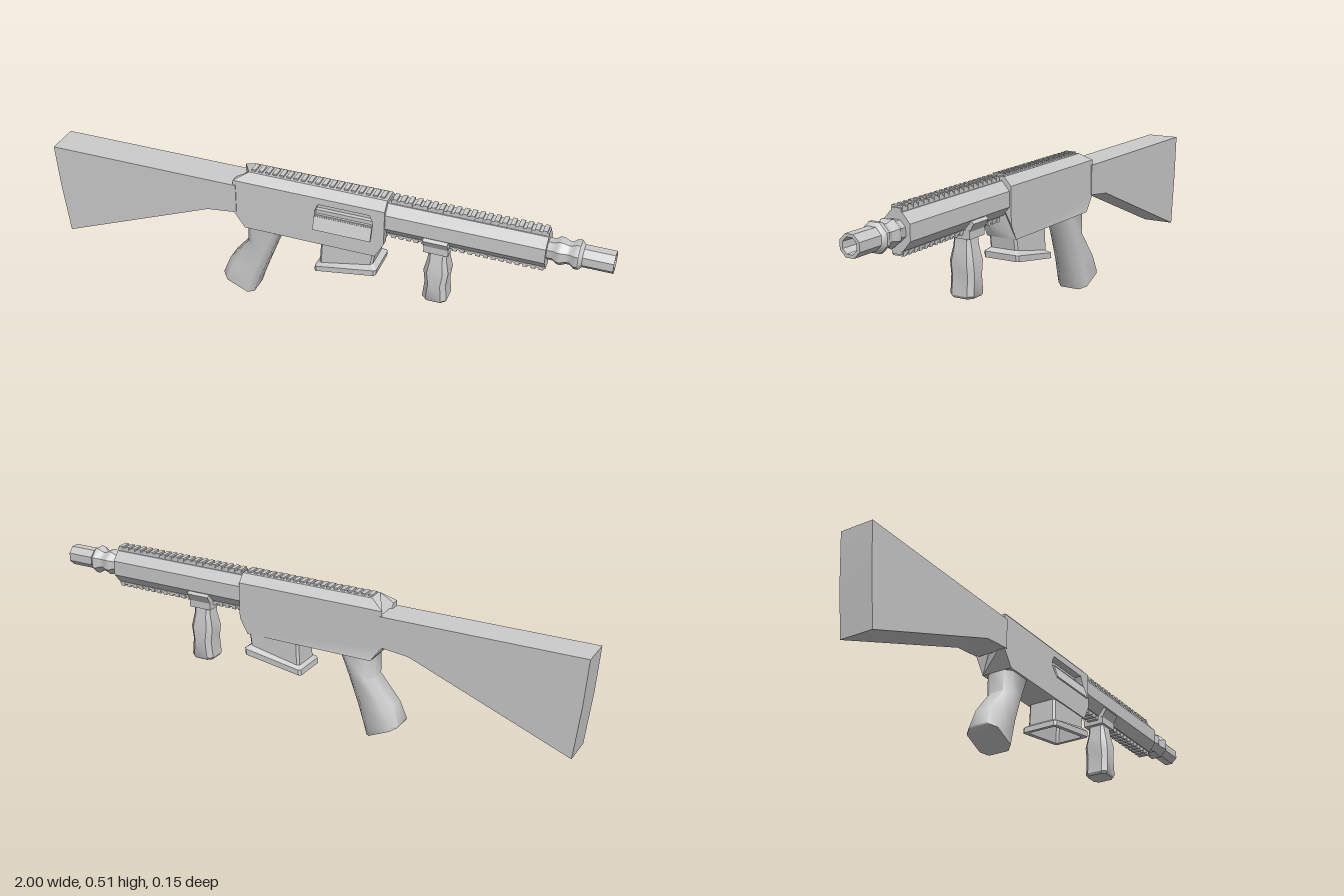
import * as THREE from 'three';
import { toCreasedNormals } from 'three/addons/utils/BufferGeometryUtils.js';

const AXIS_Y = 0.433;
const mat = new THREE.MeshStandardMaterial({ color: 0xcccccc });

function part(parent, name, geo, crease = 0.6) {
  const mesh = new THREE.Mesh(toCreasedNormals(geo, crease), mat);
  mesh.name = name;
  parent.add(mesh);
  return mesh;
}

function box(parent, name, w, h, d, x, y, z) {
  const mesh = part(parent, name, new THREE.BoxGeometry(w, h, d));
  mesh.position.set(x, y, z);
  return mesh;
}

const toShape = pts => new THREE.Shape(pts.map(p => new THREE.Vector2(p[0], p[1])));

// Side outline [x, y] extruded between two z values
function extrudeZ(shape, z0, z1) {
  return new THREE.ExtrudeGeometry(shape, { depth: z1 - z0, bevelEnabled: false }).translate(0, 0, z0);
}

// Cross-section [z, y] extruded between two x values
function extrudeX(pts, x0, x1) {
  const shape = toShape(pts.map(([z, y]) => [-z, y]));
  return new THREE.ExtrudeGeometry(shape, { depth: x1 - x0, bevelEnabled: false })
    .rotateY(Math.PI / 2).translate(x0, 0, 0);
}

// Chamfered sections from top to bottom: [back point, front point, half width, chamfer]
function loft(sections) {
  const pos = [], idx = [];
  for (const [a, b, h, c] of sections) {
    const L = Math.hypot(b[0] - a[0], b[1] - a[1]);
    const ring = [[c, -h], [L - c, -h], [L, c - h], [L, h - c], [L - c, h], [c, h], [0, h - c], [0, c - h]];
    for (const [u, z] of ring) {
      const t = u / L;
      pos.push(a[0] + (b[0] - a[0]) * t, a[1] + (b[1] - a[1]) * t, z);
    }
  }
  for (let i = 0; i < sections.length - 1; i++) {
    for (let j = 0; j < 8; j++) {
      const a = i * 8 + j, b = i * 8 + (j + 1) % 8;
      idx.push(a, b, a + 8, b, b + 8, a + 8);
    }
  }
  const last = (sections.length - 1) * 8;
  for (let j = 1; j < 7; j++) idx.push(0, j + 1, j, last, last + j, last + j + 1);
  const geo = new THREE.BufferGeometry();
  geo.setAttribute('position', new THREE.Float32BufferAttribute(pos, 3));
  geo.setIndex(idx);
  return geo;
}

// Row of teeth on a flat strip; dir is +1 for up, -1 for down
function rail(parent, name, x0, x1, y, dir, count) {
  const g = new THREE.Group();
  g.name = name;
  parent.add(g);
  const step = (x1 - x0) / count;
  box(g, 'railStrip', x1 - x0, 0.02, 0.036, (x0 + x1) / 2, y - dir * 0.016, 0);
  for (let i = 0; i < count; i++) {
    box(g, 'railTooth', step * 0.58, 0.014, 0.04, x0 + (i + 0.5) * step, y - dir * 0.007, 0);
  }
}

export function createModel() {
  const root = new THREE.Group();
  root.name = 'rifle';
  const body = new THREE.Group();
  body.name = 'body';
  body.position.z = -0.004;
  root.add(body);

  // Stock
  part(body, 'stock', extrudeZ(toShape([
    [-1, 0.457], [-0.99, 0.3], [-0.97, 0.107], [-0.4, 0.335], [-0.29, 0.348], [-0.29, 0.457],
  ]), -0.06, 0.06));

  // Receiver core, stepped on the front side to take the port plate
  const core = extrudeX([
    [-0.03, 0.504], [-0.057, 0.475], [-0.057, 0.345], [-0.057, 0.29],
    [0.03, 0.29], [0.03, 0.345], [0.03, 0.475], [0.057, 0.475], [0.03, 0.504],
  ], -0.3, 0.247);
  const p = core.attributes.position;
  for (let i = 0; i < p.count; i++) {
    const y = p.getY(i);
    if (p.getX(i) < 0) p.setX(i, y > 0.5 ? -0.25 : y < 0.3 ? -0.26 : -0.3);
    else if (y < 0.3) p.setX(i, 0.217);
  }
  core.computeVertexNormals();
  part(body, 'receiver', core);

  // Port plate with its opening
  const plate = toShape([
    [-0.3, 0.475], [-0.3, 0.345], [-0.26, 0.29], [0.217, 0.29], [0.247, 0.345], [0.247, 0.475],
  ]);
  plate.holes.push(new THREE.Path([
    [0, 0.407], [0, 0.425], [0.012, 0.45], [0.195, 0.45], [0.206, 0.425], [0.206, 0.407],
  ].map(q => new THREE.Vector2(q[0], q[1]))));
  part(body, 'portPlate', extrudeZ(plate, 0.029, 0.057));
  box(body, 'bolt', 0.206, 0.014, 0.016, 0.103, 0.414, 0.037);

  // Port cover hanging open on its hinge
  const cover = box(body, 'portCover', 0.206, 0.05, 0.006, 0.103, 0.383, 0.069);
  cover.rotation.x = -0.32;
  const hinge = part(body, 'coverHinge', new THREE.CylinderGeometry(0.005, 0.005, 0.2, 8).rotateZ(Math.PI / 2));
  hinge.position.set(0.103, 0.407, 0.06);

  // Handguard
  part(body, 'handguard', extrudeX([
    [-0.022, 0.49], [-0.05, 0.458], [-0.05, 0.405], [-0.022, 0.372],
    [0.022, 0.372], [0.05, 0.405], [0.05, 0.458], [0.022, 0.49],
  ], 0.24, 0.785));

  // Rails
  rail(body, 'receiverRail', -0.25, 0.24, 0.51, 1, 19);
  rail(body, 'upperRail', 0.255, 0.785, 0.508, 1, 20);
  rail(body, 'lowerRail', 0.255, 0.785, 0.355, -1, 20);

  // Barrel with collar, muzzle and bore
  const barrel = new THREE.LatheGeometry([
    [0.0001, 0.77], [0.037, 0.77], [0.037, 0.805], [0.046, 0.818], [0.047, 0.83], [0.039, 0.848],
    [0.039, 0.86], [0.05, 0.875], [0.05, 0.888], [0.038, 0.9], [0.038, 1],
    [0.027, 1], [0.024, 0.9], [0.0001, 0.9],
  ].map(q => new THREE.Vector2(q[0], q[1])), 8, Math.PI / 8).rotateZ(-Math.PI / 2);
  part(body, 'barrel', barrel).position.y = AXIS_Y;

  // Pistol grip
  part(body, 'pistolGrip', loft([
    [[-0.26, 0.3], [-0.13, 0.3], 0.05, 0.02],
    [[-0.262, 0.215], [-0.165, 0.21], 0.052, 0.025],
    [[-0.335, 0.125], [-0.205, 0.105], 0.057, 0.028],
    [[-0.36, 0.06], [-0.228, 0.045], 0.06, 0.025],
    [[-0.357, 0.054], [-0.242, 0.002], 0.06, 0.022],
  ]), 0.9);

  // Magazine well, open underneath with a flared lip
  part(body, 'magazineWell', loft([
    [[0.02, 0.31], [0.222, 0.34], 0.052, 0.008],
    [[0.015, 0.21], [0.208, 0.25], 0.054, 0.008],
    [[0.002, 0.2], [0.226, 0.238], 0.068, 0.008],
    [[0, 0.18], [0.224, 0.216], 0.068, 0.008],
    [[0.018, 0.183], [0.206, 0.213], 0.053, 0.008],
    [[0.025, 0.26], [0.2, 0.285], 0.045, 0.008],
  ]), 0.5);

  // Foregrip with clamp on the lower rail
  for (const s of [-1, 1]) {
    part(body, 'clampJaw', extrudeX([
      [s * 0.038, 0.412], [s * 0.056, 0.393], [s * 0.04, 0.365], [s * 0.02, 0.365],
    ], 0.38, 0.465));
  }
  box(body, 'clampBase', 0.085, 0.03, 0.08, 0.423, 0.355, 0);
  part(body, 'foregrip', loft([
    [[0.395, 0.345], [0.455, 0.345], 0.03, 0.008],
    [[0.392, 0.31], [0.458, 0.31], 0.035, 0.012],
    [[0.382, 0.262], [0.468, 0.262], 0.045, 0.016],
    [[0.388, 0.215], [0.462, 0.215], 0.045, 0.016],
    [[0.382, 0.152], [0.468, 0.152], 0.045, 0.016],
    [[0.387, 0.143], [0.463, 0.143], 0.039, 0.014],
  ]));

  return root;
}
